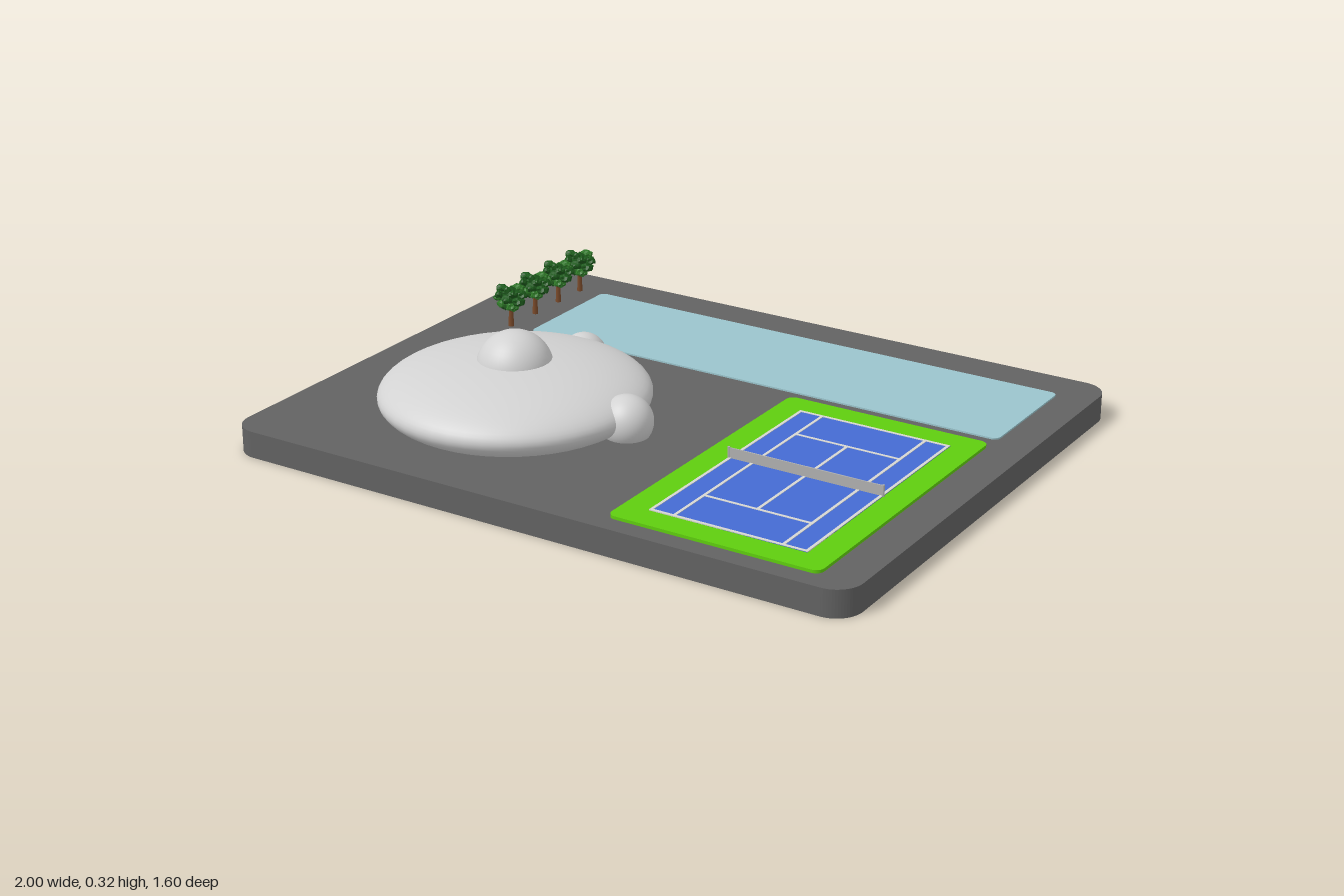
import * as THREE from 'three';
import { mergeGeometries } from 'three/addons/utils/BufferGeometryUtils.js';

const mat = (name, color) => {
  const m = new THREE.MeshStandardMaterial({ color });
  m.name = name;
  return m;
};

export function createModel() {
  const root = new THREE.Group();
  const paving = mat('paving grey', 0x626262);
  const shell = mat('shell grey', 0xd2d2d2);
  const water = mat('water blue', 0x9ac4cc);
  const grass = mat('surround green', 0x5fcd0e);
  const court = mat('court blue', 0x446bd2);
  const line = mat('line white', 0xd6d6d2);
  const netGrey = mat('net grey', 0xb0b0b0);
  const bark = mat('bark brown', 0x7a4a2a);
  const leafDark = mat('leaf dark green', 0x1d5a1c);
  const leafLight = mat('leaf green', 0x2f7a28);

  const add = (parent, name, geo, material, x = 0, y = 0, z = 0) => {
    const m = new THREE.Mesh(geo, material);
    m.name = name;
    m.position.set(x, y, z);
    parent.add(m);
    return m;
  };

  // Flat slab with rounded corners, from y0 to y1
  const slab = (name, x0, x1, z0, z1, r, y0, y1, material) => {
    const w = (x1 - x0) / 2, d = (z1 - z0) / 2;
    const s = new THREE.Shape();
    s.moveTo(-w + r, -d);
    s.absarc(w - r, -d + r, r, -Math.PI / 2, 0);
    s.absarc(w - r, d - r, r, 0, Math.PI / 2);
    s.absarc(-w + r, d - r, r, Math.PI / 2, Math.PI);
    s.absarc(-w + r, -d + r, r, Math.PI, Math.PI * 1.5);
    const g = new THREE.ExtrudeGeometry(s, { depth: y1 - y0, bevelEnabled: false, curveSegments: 8 });
    g.rotateX(-Math.PI / 2);
    add(root, name, g, material, (x0 + x1) / 2, y0, (z0 + z1) / 2);
  };

  slab('base', -1, 1, -0.8, 0.8, 0.08, 0, 0.08, paving);
  slab('pool', -0.71, 0.89, -0.667, -0.267, 0.02, 0.078, 0.085, water);
  slab('courtSurround', 0.245, 0.885, -0.224, 0.74, 0.025, 0.078, 0.089, grass);

  // Domed building: flattened shell, cupola and two entrance pods
  const building = new THREE.Group();
  building.name = 'building';
  root.add(building);
  const dome = (name, x, y, z, rx, ry, rz) => {
    const top = Math.PI - Math.acos(Math.min(1, (y - 0.078) / ry));
    const g = new THREE.SphereGeometry(1, 48, 24, 0, Math.PI * 2, 0, top);
    add(building, name, g, shell, x, y, z).scale.set(rx, ry, rz);
  };
  dome('mainShell', -0.39, 0.132, 0.26, 0.396, 0.11, 0.4);
  dome('cupola', -0.39, 0.206, 0.26, 0.113, 0.113, 0.113);
  dome('sidePod', -0.013, 0.122, 0.25, 0.077, 0.077, 0.077);
  dome('backPod', -0.39, 0.122, -0.088, 0.071, 0.077, 0.077);

  // Tennis court
  const tennis = new THREE.Group();
  tennis.name = 'tennisCourt';
  root.add(tennis);
  const plate = (name, x0, x1, z0, z1, y0, y1, material) =>
    add(tennis, name, new THREE.BoxGeometry(x1 - x0, y1 - y0, z1 - z0), material,
      (x0 + x1) / 2, (y0 + y1) / 2, (z0 + z1) / 2);
  plate('playingSurface', 0.325, 0.805, -0.142, 0.66, 0.086, 0.0905, court);
  const t = 0.0045;
  for (const x of [0.3295, 0.4, 0.73, 0.8005]) plate('sideLine', x - t, x + t, -0.142, 0.66, 0.089, 0.092, line);
  for (const z of [-0.1375, 0.6555]) plate('baseLine', 0.325, 0.805, z - t, z + t, 0.089, 0.0919, line);
  for (const z of [0.016, 0.505]) plate('serviceLine', 0.4, 0.73, z - t, z + t, 0.089, 0.0918, line);
  plate('centreLine', 0.565 - t, 0.565 + t, 0.016, 0.505, 0.089, 0.0917, line);
  plate('net', 0.325, 0.805, 0.252, 0.256, 0.09, 0.121, netGrey);
  for (const x of [0.325, 0.805])
    add(tennis, 'netPost', new THREE.CylinderGeometry(0.004, 0.004, 0.034, 8), netGrey, x, 0.106, 0.254);

  // Trees: short trunk with branches under a ragged, wide crown
  let seed = 7;
  const rand = () => (seed = (seed * 16807) % 2147483647) / 2147483647;
  const tuft = (x, y, z, r) => {
    const g = new THREE.IcosahedronGeometry(r, 1);
    const p = g.attributes.position, moved = {};
    for (let i = 0; i < p.count; i++) {
      const key = [p.getX(i), p.getY(i), p.getZ(i)].map(v => Math.round(v * 1e5)).join();
      const k = moved[key] ??= 0.65 + 0.6 * rand();
      p.setXYZ(i, p.getX(i) * k, p.getY(i) * k * 0.85, p.getZ(i) * k);
    }
    g.computeVertexNormals();
    return g.translate(x, y, z);
  };
  const crown = [[], []];
  for (let i = 0; i < 20; i++) {
    const a = i * 2.4, h = (i + 0.5) / 20;
    const r = 0.039 * Math.sqrt(Math.max(0.1, 1 - (1.8 * h - 1.05) ** 2));
    crown[i % 3 ? 0 : 1].push(tuft(Math.cos(a) * r, 0.142 + 0.066 * h, Math.sin(a) * r, 0.0155));
  }
  crown[0].push(tuft(0, 0.18, 0, 0.034));
  const [darkCrown, lightCrown] = crown.map(c => mergeGeometries(c));
  const wood = [new THREE.CylinderGeometry(0.006, 0.009, 0.075, 8).translate(0, 0.115, 0)];
  for (let i = 0; i < 3; i++)
    wood.push(new THREE.CylinderGeometry(0.003, 0.005, 0.045, 6)
      .translate(0, 0.02, 0).rotateZ(0.7).rotateY(i * 2.1).translate(0, 0.128, 0));
  const trunk = mergeGeometries(wood);
  [-0.66, -0.538, -0.41, -0.28].forEach((z) => {
    const tree = new THREE.Group();
    tree.name = 'tree';
    tree.position.set(-0.793, 0, z);
    add(tree, 'trunk', trunk, bark);
    add(tree, 'darkLeaves', darkCrown, leafDark);
    add(tree, 'lightLeaves', lightCrown, leafLight);
    root.add(tree);
  });
  return root;
}
